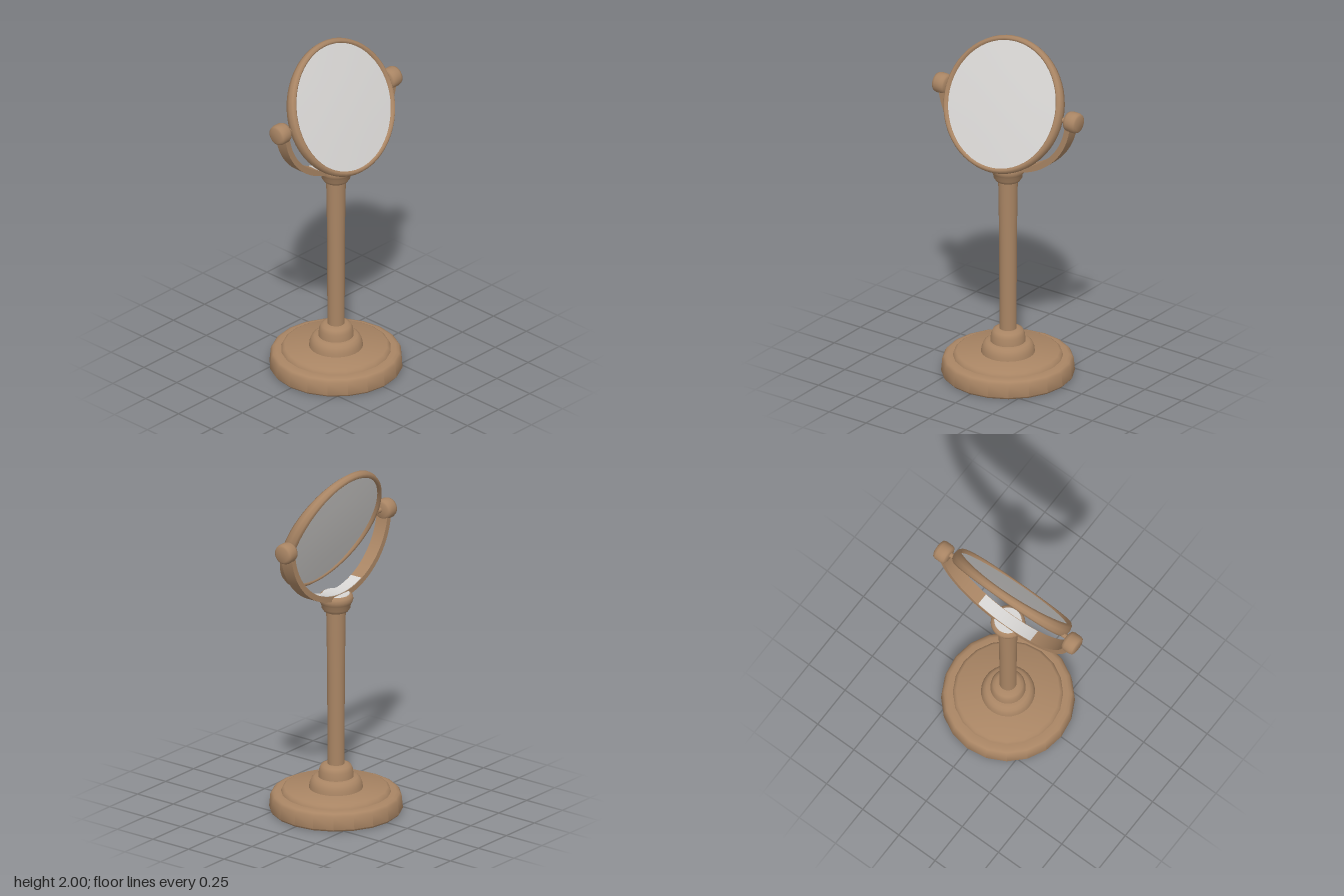
import * as THREE from 'three';
import { toCreasedNormals } from 'three/addons/utils/BufferGeometryUtils.js';

export function createModel() {
  const wood = new THREE.MeshStandardMaterial({ color: 0xa98564 });
  wood.name = 'warmWood';
  const silver = new THREE.MeshStandardMaterial({ color: 0xd8d6d4 });
  silver.name = 'silverGlass';

  const model = new THREE.Group();
  model.name = 'tableMirror';

  const add = (parent, name, geometry, material) => {
    const mesh = new THREE.Mesh(geometry, material);
    mesh.name = name;
    parent.add(mesh);
    return mesh;
  };
  const lathe = (points, segments, crease = 0.8) => toCreasedNormals(
    new THREE.LatheGeometry(points.map(([r, y]) => new THREE.Vector2(r, y)), segments), crease);

  // Stepped round foot
  add(model, 'base', lathe([
    [0, 0], [0.36, 0], [0.37, 0.012], [0.363, 0.085], [0.352, 0.1], [0.335, 0.106],
    [0.305, 0.106], [0.298, 0.122], [0.285, 0.13], [0, 0.13],
  ], 20), wood);
  add(model, 'baseSteps', lathe([
    [0.15, 0.125], [0.147, 0.15], [0.136, 0.18], [0.12, 0.192], [0.098, 0.195],
    [0.094, 0.235], [0.083, 0.26], [0.065, 0.268], [0.045, 0.27],
  ], 32), wood);

  // Column and its collar
  add(model, 'column', lathe([[0.048, 0.26], [0.049, 0.8], [0.055, 1.19]], 24), wood);
  add(model, 'collar', lathe([
    [0.052, 1.165], [0.068, 1.172], [0.08, 1.19], [0.083, 1.213], [0.09, 1.222],
    [0.096, 1.24], [0.094, 1.26], [0.082, 1.272], [0, 1.272],
  ], 28), wood);
  add(model, 'collarCap', lathe([[0.078, 1.27], [0.074, 1.276], [0, 1.276]], 28), silver);

  // Curved band between two ellipses, swept through the depth
  const yokeY = 1.66;
  const band = (outer, inner, spread, depth) => {
    const shape = new THREE.Shape();
    const start = -Math.PI / 2 - spread, end = -Math.PI / 2 + spread;
    shape.absellipse(0, yokeY, outer[0], outer[1], start, end, false, 0);
    shape.absellipse(0, yokeY, inner[0], inner[1], end, start, true, 0);
    const geometry = new THREE.ExtrudeGeometry(shape, { depth, bevelEnabled: false, curveSegments: 36 });
    geometry.translate(0, 0, -depth / 2);
    return toCreasedNormals(geometry, 0.6);
  };
  add(model, 'yoke', band([0.447, 0.415], [0.414, 0.382], 1.5, 0.076), wood);
  add(model, 'yokeInlay', band([0.415, 0.383], [0.411, 0.379], 0.45, 0.07), silver);

  // Side knobs and pivot pins
  const knobProfile = [
    [0, -0.04], [0.042, -0.04], [0.053, -0.034], [0.058, -0.02],
    [0.058, 0.02], [0.053, 0.034], [0.042, 0.04], [0, 0.04],
  ];
  for (const [side, label] of [[1, 'left'], [-1, 'right']]) {
    const knob = add(model, label + 'Knob', lathe(knobProfile, 24), wood);
    knob.rotation.z = Math.PI / 2;
    knob.position.set(side * 0.444, 1.64, 0);
    const pin = add(model, label + 'Pin', new THREE.CylinderGeometry(0.015, 0.015, 0.06, 12), wood);
    pin.rotation.z = Math.PI / 2;
    pin.position.set(side * 0.395, 1.64, 0.01);
  }

  // Tilted mirror, built around its own axis
  const head = new THREE.Group();
  head.name = 'mirrorHead';
  head.position.set(0, 1.643, 0.037);
  head.rotation.x = THREE.MathUtils.degToRad(67);
  model.add(head);

  // Rim grows thicker towards the pivots
  const rim = lathe([
    [0.354, -0.012], [0.358, -0.021], [0.368, -0.025], [0.38, -0.017], [0.385, 0],
    [0.38, 0.017], [0.368, 0.025], [0.358, 0.021], [0.354, 0.012],
  ], 56, 1.2);
  const p = rim.attributes.position;
  for (let i = 0; i < p.count; i++) {
    const c = p.getX(i) / Math.hypot(p.getX(i), p.getZ(i));
    p.setY(i, p.getY(i) * (1 + 0.6 * c * c));
  }
  add(head, 'mirrorRim', rim, wood);
  add(head, 'mirrorGlass', lathe([
    [0, -0.025], [0.2, -0.023], [0.358, -0.017], [0.358, 0.017], [0.2, 0.023], [0, 0.025],
  ], 56), silver);

  return model;
}
